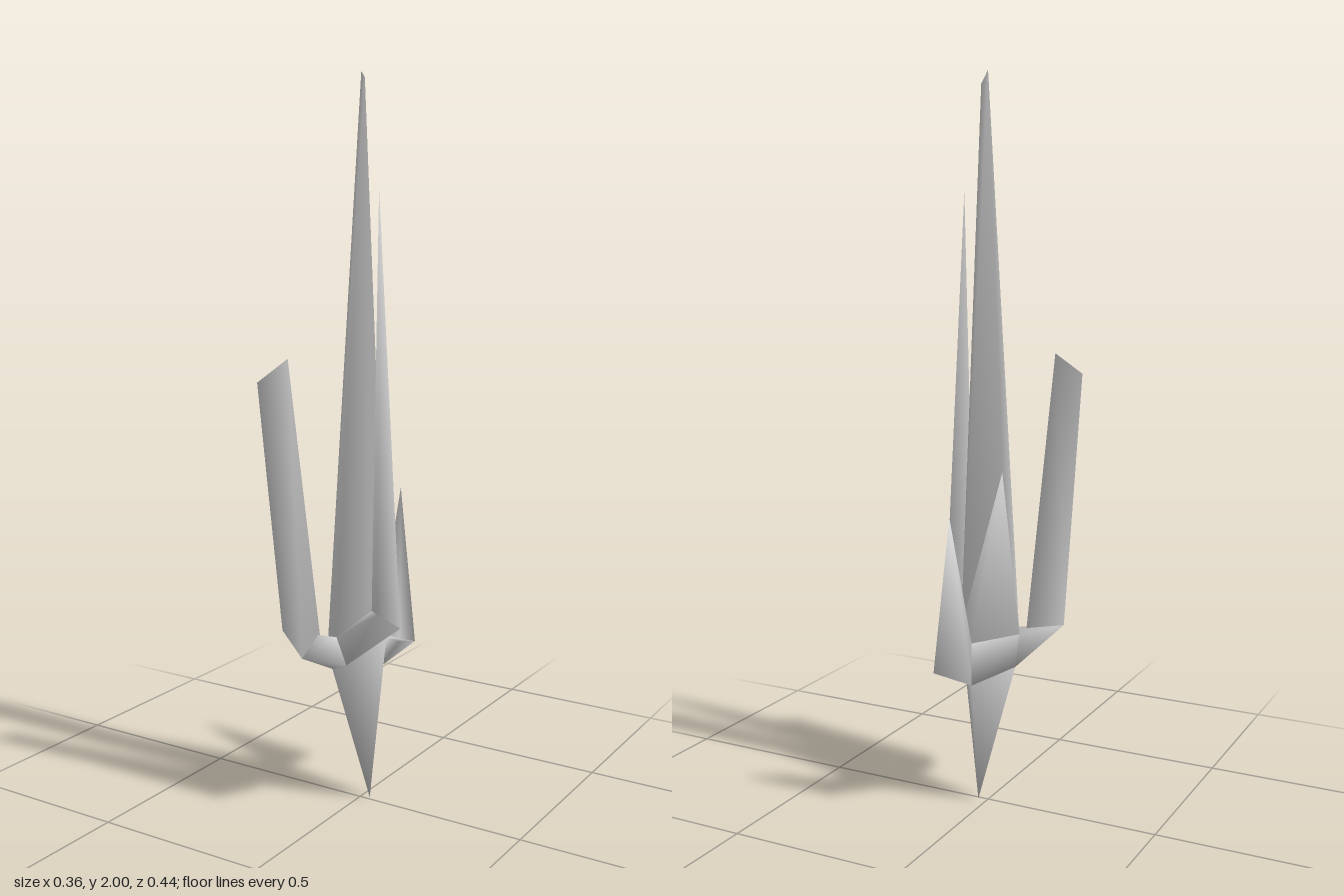
import * as THREE from 'three';
import { ConvexGeometry } from 'three/addons/geometries/ConvexGeometry.js';
import { mergeVertices } from 'three/addons/utils/BufferGeometryUtils.js';

const v = (x, y, z) => new THREE.Vector3(x, y, z);

// Smooth-shaded crystal shard spanning the given corners
function shard(name, corners, material) {
  let geometry = new ConvexGeometry(corners);
  geometry.deleteAttribute('normal');
  geometry = mergeVertices(geometry, 1e-4);
  geometry.computeVertexNormals();
  const mesh = new THREE.Mesh(geometry, material);
  mesh.name = name;
  return mesh;
}

export function createModel() {
  const group = new THREE.Group();
  group.name = 'crystalSpikes';
  const material = new THREE.MeshStandardMaterial({ color: 0xcccccc });

  // Hub corners shared by neighbouring shards
  const hub = {
    right: v(-0.07, 0.48, 0.055),
    rightLow: v(-0.06, 0.385, 0.05),
    back: v(0.01, 0.48, -0.08),
    backLow: v(0.01, 0.36, -0.08),
    left: v(0.085, 0.49, 0),
    front: v(-0.03, 0.49, 0.075),
    frontLow: v(0.01, 0.42, 0.088),
    shoulder: v(-0.052, 0.95, -0.018),
  };

  // Elbow corners where each arm turns upward
  const rightElbow = [v(-0.172, 0.5, 0.13), v(-0.075, 0.45, 0.177), v(-0.077, 0.485, 0.085)];
  const leftElbow = [v(0.172, 0.62, 0.195), v(0.181, 0.555, 0.09), v(0.077, 0.58, 0.065)];
  const backInner = v(0.077, 0.45, -0.085);
  const backElbow = v(0.068, 0.42, -0.19);

  const parts = {
    // Pointed root below the hub
    root: [v(0.026, 0, -0.01), hub.rightLow, hub.backLow, hub.left, hub.frontLow],
    hub: [hub.right, hub.rightLow, hub.back, hub.backLow, hub.left, hub.front, hub.frontLow],
    // Tall chisel-topped centre and the fillet behind it
    centreSpike: [v(-0.015, 2, -0.03), v(0.05, 1.975, 0.058), hub.shoulder,
      hub.right, hub.left, hub.front, v(0.07, 0.6, 0.065)],
    centreFillet: [hub.shoulder, hub.right, hub.back, hub.left],
    // Chisel-topped right spike
    rightArm: [...rightElbow, hub.right, hub.rightLow, hub.front, hub.frontLow],
    rightSpike: [v(-0.183, 1.2, 0.217), v(-0.128, 1.26, 0.155), ...rightElbow],
    // Pointed left spike
    leftArm: [...leftElbow, hub.left, hub.front, hub.frontLow],
    leftSpike: [v(0.166, 1.7, 0.18), ...leftElbow],
    // Short back spike
    backArm: [hub.back, hub.backLow, hub.left, backInner, backElbow],
    backSpike: [v(0.001, 0.86, -0.22), hub.back, backInner, backElbow, hub.backLow],
  };
  for (const [name, corners] of Object.entries(parts)) group.add(shard(name, corners, material));
  return group;
}
